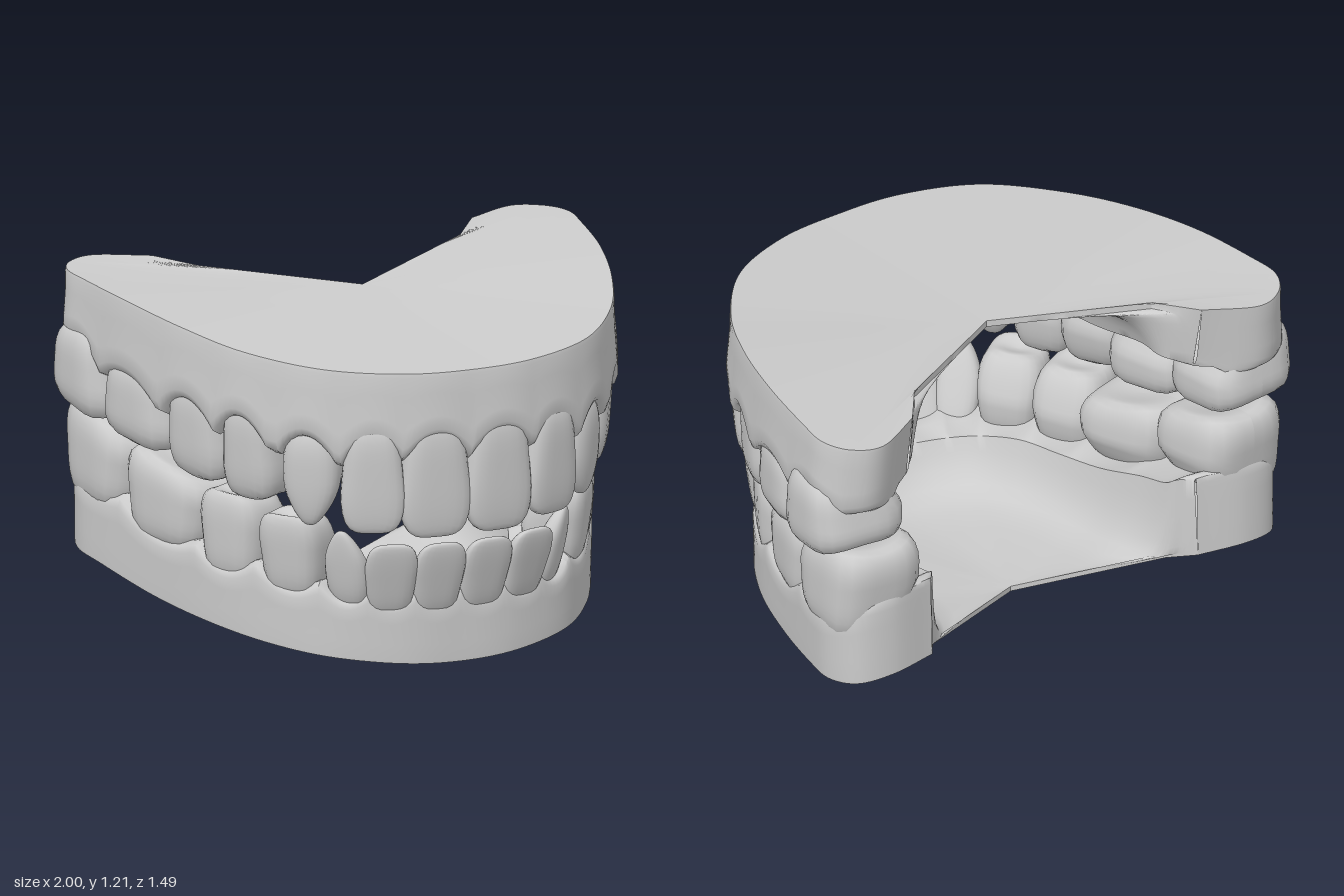
import * as THREE from 'three';
import { toCreasedNormals } from 'three/addons/utils/BufferGeometryUtils.js';

const V = (x, y, z) => new THREE.Vector3(x, y, z);
const mix = THREE.MathUtils.lerp;

// Rows from the front middle to the back end of one side:
// [outer x, outer z, inner x, inner z, plate edge y, gum line y]
// Teeth: [face x, face z, outward yaw in degrees, width, depth, tip y, gum y, kind, lean, bite slope]
const UPPER = {
  name: 'upper', dir: -1, bulge: 0.017, scallop: 0.09, tuck: 0.035, recede: 0.06, steep: 7,
  apex: V(0, 1.15, -0.22), corner: V(0.5, 1.2, -0.51), thickness: 0.025,
  rows: [
    [0, 0.72, 0, 0.48, 1.08, 0.8], [0.25, 0.695, 0.17, 0.44, 1.085, 0.8],
    [0.505, 0.575, 0.32, 0.34, 1.1, 0.795], [0.7, 0.34, 0.4, 0.18, 1.125, 0.835],
    [0.82, 0.08, 0.45, 0, 1.16, 0.855], [0.9, -0.2, 0.49, -0.2, 1.19, 0.87],
    [0.945, -0.47, 0.51, -0.42, 1.205, 0.925], [0.955, -0.61, 0.52, -0.52, 1.21, 0.94],
    [0.9, -0.71, 0.54, -0.58, 1.21, 0.96], [0.79, -0.75, 0.58, -0.63, 1.21, 0.97],
    [0.61, -0.66, 0.6, -0.655, 1.21, 0.97],
  ],
  teeth: [
    [0.124, 0.728, 5, 0.25, 0.17, 0.48, 0.85, 'incisor', -0.02, 0],
    [0.355, 0.68, 22, 0.22, 0.17, 0.505, 0.84, 'incisor', -0.02, 0],
    [0.55, 0.54, 42, 0.215, 0.22, 0.52, 0.83, 'canine', -0.02, 0],
    [0.705, 0.325, 60, 0.225, 0.27, 0.56, 0.88, 'premolar', -0.03, 0.05],
    [0.81, 0.095, 68, 0.27, 0.3, 0.595, 0.9, 'premolar', -0.02, 0.15],
    [0.915, -0.205, 75, 0.35, 0.35, 0.655, 0.91, 'molar', 0, 0.15],
    [0.995, -0.52, 84, 0.335, 0.36, 0.705, 0.97, 'molar', 0, 0.18],
  ],
};
const LOWER = {
  name: 'lower', dir: 1, bulge: 0.005, scallop: 0.05, tuck: 0.01, recede: 0.01, steep: 10,
  apex: V(0, 0.1, -0.37), corner: V(0.49, 0.19, -0.61), thickness: 0.02,
  rows: [
    [0, 0.63, 0, 0.44, 0, 0.25], [0.22, 0.61, 0.16, 0.41, 0.01, 0.25],
    [0.45, 0.51, 0.3, 0.32, 0.035, 0.27], [0.61, 0.33, 0.39, 0.16, 0.06, 0.31],
    [0.73, 0.1, 0.44, -0.02, 0.09, 0.33], [0.82, -0.17, 0.47, -0.23, 0.125, 0.375],
    [0.9, -0.45, 0.49, -0.45, 0.18, 0.455], [0.92, -0.6, 0.5, -0.59, 0.2, 0.495],
    [0.87, -0.71, 0.51, -0.64, 0.22, 0.52], [0.74, -0.745, 0.53, -0.67, 0.235, 0.53],
    [0.56, -0.71, 0.555, -0.705, 0.23, 0.53],
  ],
  teeth: [
    [0.09, 0.67, 4, 0.18, 0.13, 0.455, 0.22, 'incisor', 0.1, 0],
    [0.265, 0.64, 16, 0.18, 0.13, 0.46, 0.23, 'incisor', 0.1, 0],
    [0.42, 0.555, 48, 0.165, 0.15, 0.5, 0.25, 'canine', 0.07, 0],
    [0.58, 0.41, 53, 0.235, 0.24, 0.56, 0.28, 'premolar', 0.05, 0],
    [0.71, 0.17, 63, 0.26, 0.28, 0.593, 0.3, 'premolar', 0.02, 0.05],
    [0.83, -0.155, 73, 0.395, 0.34, 0.635, 0.36, 'molar', 0.01, 0.24],
    [0.93, -0.53, 84, 0.385, 0.35, 0.74, 0.43, 'molar', 0, 0.3],
  ],
};

// Gum and plate: cross-sections swept around the arch
function gumGeometry(jaw) {
  const { rows, dir, apex, corner, thickness, bulge, tuck, recede, steep } = jaw;
  const mirror = (f) => [
    ...rows.slice(1).reverse().map((r) => f(r, -1)), ...rows.map((r) => f(r, 1)),
  ];
  const outer = new THREE.CatmullRomCurve3(mirror((r, s) => V(s * r[0], r[4], r[1])), false, 'catmullrom', 0.5);
  const inner = new THREE.CatmullRomCurve3(mirror((r, s) => V(s * r[2], r[5], r[3])), false, 'catmullrom', 0.5);

  // rise of the gum line over the middle of the nearest tooth
  const scallop = (p) => {
    let best = 1e9, shift = 0;
    for (const [x, z, yaw, w] of jaw.teeth) {
      const a = THREE.MathUtils.degToRad(yaw);
      const dx = Math.abs(p.x) - x, dz = p.z - z;
      const along = Math.abs(dx * Math.cos(a) - dz * Math.sin(a)) / (w / 2);
      if (along < best) { best = along; shift = 0.5 - Math.min(1, along) ** 2; }
    }
    return -dir * jaw.scallop * shift;
  };

  // wall profile: [position from inner (0) to outer (1), bulge share, height from plate to gum line]
  const wall = [[1, 0.2, 0.05], [1, 0.3, 0.3], [1, 0.8, 0.65], [1, 1, 0.85], [0.98, 0.7, 0.95],
    [0.91, 0, 1.01], [0.7, 0, 1.04], [0.4, 0, 1.03], [0.1, 0, 1.01]];
  const under = [0, 0.03, 0.07, 0.13, 0.2, 0.3, 0.45, 0.7, 1];

  const section = (t, closed) => {
    const O = outer.getPoint(t), I = inner.getPoint(t);
    const s = t * 2 - 1, k = THREE.MathUtils.smoothstep(Math.abs(s), 0.55, 0.92);
    const A = apex.clone().lerp(V(Math.sign(s) * corner.x, corner.y, corner.z), k);
    const out = V(O.x - I.x, 0, O.z - I.z);
    const share = out.length() / Math.hypot(O.x - A.x, O.z - A.z);
    const swell = bulge * Math.min(1, out.length() / 0.15);
    const edge = scallop(O), back = -dir * recede * (1 - k);
    out.normalize();
    const pts = [A, A.clone().lerp(O, 0.5), O];
    for (const [f, b, h] of wall) {
      const gum = I.y + edge * (f > 0.8 ? 1 : 0.3) + back * Math.max(0, 1 - f / 0.7);
      pts.push(V(mix(I.x, O.x, f) + out.x * b * swell, mix(O.y, gum, h),
        mix(I.z, O.z, f) + out.z * b * swell + tuck * k * h));
    }
    // inner wall, then the thin plate that follows the outer face
    for (const u of under) {
      const e = 1 - (1 - u) ** steep;
      const plate = mix(O.y, A.y, mix(Math.min(1, share), 1, u)) + dir * thickness;
      pts.push(V(mix(I.x, A.x, u), mix(I.y + back, plate, e), mix(I.z, A.z, u) + tuck * k * (1 - e)));
    }
    if (closed) { // fold the last section flat to close the end
      for (let i = 3 + wall.length, j = 0; j < under.length; j++) pts[i + j] = O.clone().lerp(A, under[j]);
    }
    pts.push(A.clone());
    return pts;
  };

  const N = 260, sections = [section(0, true)];
  for (let i = 0; i <= N; i++) sections.push(section(i / N, false));
  sections.push(section(1, true));
  const n = sections[0].length, pos = [], idx = [];
  sections.forEach((sec) => sec.forEach((p) => pos.push(p.x, p.y, p.z)));
  for (let i = 0; i < sections.length - 1; i++) {
    for (let j = 0; j < n - 1; j++) {
      const a = i * n + j, b = a + 1, c = a + n, d = c + 1;
      if (dir < 0) idx.push(a, b, c, b, d, c);
      else idx.push(a, c, b, b, c, d);
    }
  }
  const geo = new THREE.BufferGeometry();
  geo.setAttribute('position', new THREE.Float32BufferAttribute(pos, 3));
  geo.setIndex(idx);
  return toCreasedNormals(geo, 0.8);
}

// Tooth: a sphere squared off, then tapered by kind; local +z faces outward
function toothGeometry(tooth, dir, side) {
  const [, , , w, d, tip, gum, kind, lean, slope] = tooth;
  const grinder = kind === 'molar' || kind === 'premolar';
  const root = gum - dir * 0.07, n = kind === 'canine' ? 2.8 : 3.8;
  const geo = new THREE.SphereGeometry(1, 28, 22);
  const p = geo.attributes.position;
  for (let i = 0; i < p.count; i++) {
    let x = p.getX(i), y = p.getY(i) * dir, z = p.getZ(i);
    const r = (Math.abs(x) ** n + Math.abs(y) ** n + Math.abs(z) ** n) ** (1 / n);
    x /= r; y /= r; z /= r;
    const h = (y + 1) / 2; // 0 at the root, 1 at the tip
    let wide = mix(0.82, 1.03, Math.min(1, h * 1.5));
    let deep = grinder ? mix(0.75, 1, Math.min(1, h * 2)) : 1 - 0.62 * h;
    if (kind === 'canine') wide *= 1.05 - 0.62 * h ** 3;
    if (kind === 'premolar') { deep *= 1 - 0.25 * h * h; wide *= 1 - 0.1 * h ** 4; }
    let yy = mix(root, tip, h) + slope * side * x * w / 2 * h;
    // hollow chewing face between the cusps
    if (grinder && y > 0.5) {
      yy -= dir * 0.045 * Math.max(0, 1 - 1.6 * z * z) * Math.max(0, 1 - x * x);
    }
    const zz = d / 2 - (1 - z) * deep * d / 2 + lean * (h - 0.5);
    p.setXYZ(i, x * wide * w / 2, yy, zz);
  }
  geo.computeVertexNormals();
  return geo;
}

export function createModel() {
  const model = new THREE.Group();
  model.name = 'dentalModel';
  const gumMat = new THREE.MeshStandardMaterial({ color: 0xcccccc, side: THREE.DoubleSide });
  const toothMat = new THREE.MeshStandardMaterial({ color: 0xcccccc });

  for (const jaw of [UPPER, LOWER]) {
    const group = new THREE.Group();
    group.name = jaw.name + 'Jaw';
    const gum = new THREE.Mesh(gumGeometry(jaw), gumMat);
    gum.name = jaw.name + 'Gum';
    group.add(gum);
    for (const side of [1, -1]) {
      jaw.teeth.forEach((tooth, i) => {
        const [x, z, yaw, , d, , , kind] = tooth;
        const a = THREE.MathUtils.degToRad(yaw);
        const mesh = new THREE.Mesh(toothGeometry(tooth, jaw.dir, side), toothMat);
        mesh.name = `${jaw.name}${side > 0 ? 'Left' : 'Right'}${kind[0].toUpperCase()}${kind.slice(1)}${i + 1}`;
        mesh.position.set(side * (x - Math.sin(a) * d / 2), 0, z - Math.cos(a) * d / 2);
        mesh.rotation.y = side * a;
        group.add(mesh);
      });
    }
    model.add(group);
  }
  return model;
}
